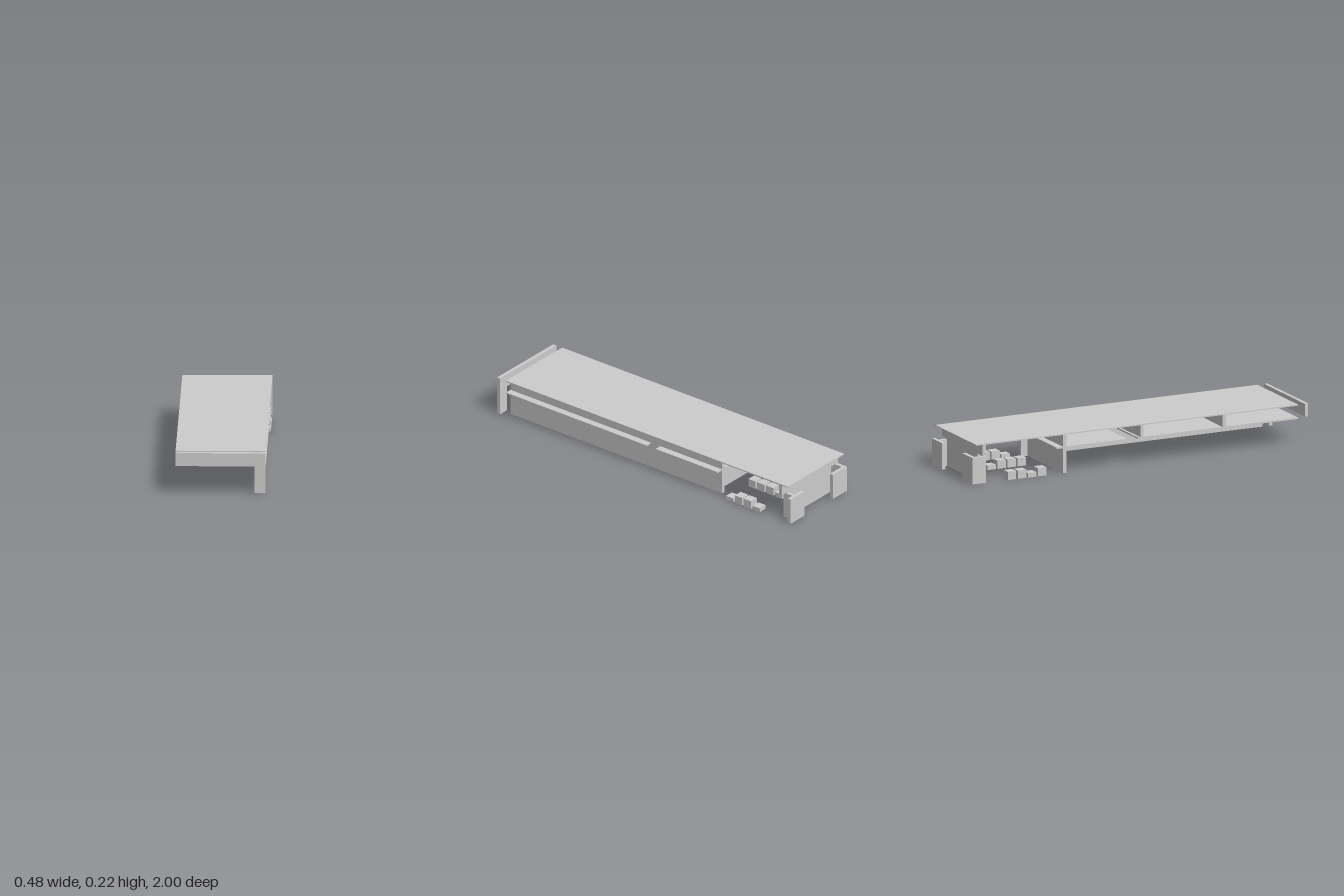
import * as THREE from 'three';

export function createModel() {
  const model = new THREE.Group();
  const grey = new THREE.MeshStandardMaterial({ color: 0xcccccc });
  grey.name = 'plain grey';

  // box given by its extents along each axis
  function slab(name, [x0, x1], [y0, y1], [z0, z1]) {
    const mesh = new THREE.Mesh(new THREE.BoxGeometry(x1 - x0, y1 - y0, z1 - z0), grey);
    mesh.position.set((x0 + x1) / 2, (y0 + y1) / 2, (z0 + z1) / 2);
    mesh.name = name;
    model.add(mesh);
  }

  const full = [-0.24, 0.24];
  const roofBase = 0.21, floorBase = 0.137, floorTop = 0.145;

  // roof
  slab('roof', full, [roofBase, 0.216], [-0.98, 0.94]);

  // front fascia: a header with one leg, in a single outline
  const outline = new THREE.Shape([
    [-0.24, 0.145], [0.18, 0.145], [0.18, 0], [0.24, 0], [0.24, 0.216], [-0.24, 0.216],
  ].map(([x, y]) => new THREE.Vector2(x, y)));
  const fascia = new THREE.Mesh(
    new THREE.ExtrudeGeometry(outline, { depth: 0.02, bevelEnabled: false }), grey);
  fascia.position.z = 0.98;
  fascia.name = 'frontFascia';
  model.add(fascia);

  // long side wall
  slab('sideWall', [0.18, 0.2], [0, roofBase], [-0.5, 0.94]);

  // upper floor in sections, with a slot across it
  for (const z of [[-0.5, -0.08], [-0.015, 0.46], [0.46, 0.94]]) {
    slab('upperFloorInside', [-0.24, 0.18], [floorBase, floorTop], z);
    slab('upperFloorLedge', [0.2, 0.24], [floorBase, floorTop], z);
  }

  // cross partitions on the upper floor, and the full-height one below
  for (const z of [-0.45, 0.01, 0.5]) {
    slab('upperPartition', [-0.24, 0.18], [floorTop, roofBase], [z - 0.01, z + 0.01]);
  }
  slab('lowerPartition', [-0.24, 0.18], [0, floorBase], [-0.46, -0.44]);

  // three rows of low blocks
  const rows = [
    { x: -0.24, heights: [0.045, 0.025, 0.045, 0.045] },
    { x: 0, heights: [0.045, 0.045, 0.045, 0.025] },
    { x: 0.19, heights: [0.022, 0.045, 0.045, 0.022] },
  ];
  for (const { x, heights } of rows) {
    heights.forEach((h, i) => {
      const z = -0.56 - i * 0.06;
      slab('block', [x, x + 0.05], [0, h], [z - 0.05, z]);
    });
  }

  // back wall, its returns and the two rear panels
  slab('backWallUpper', full, [0.15, roofBase], [-0.94, -0.92]);
  slab('backWallLower', [-0.18, 0.2], [0, 0.15], [-0.94, -0.92]);
  slab('rearReturnLeft', [0.18, 0.2], [0, 0.145], [-0.98, -0.94]);
  slab('rearReturnRight', [-0.24, -0.22], [0, 0.145], [-0.98, -0.92]);
  for (const x of [[-0.24, -0.12], [0.12, 0.24]]) {
    slab('rearPanel', x, [0, 0.145], [-1, -0.98]);
  }

  return model;
}
